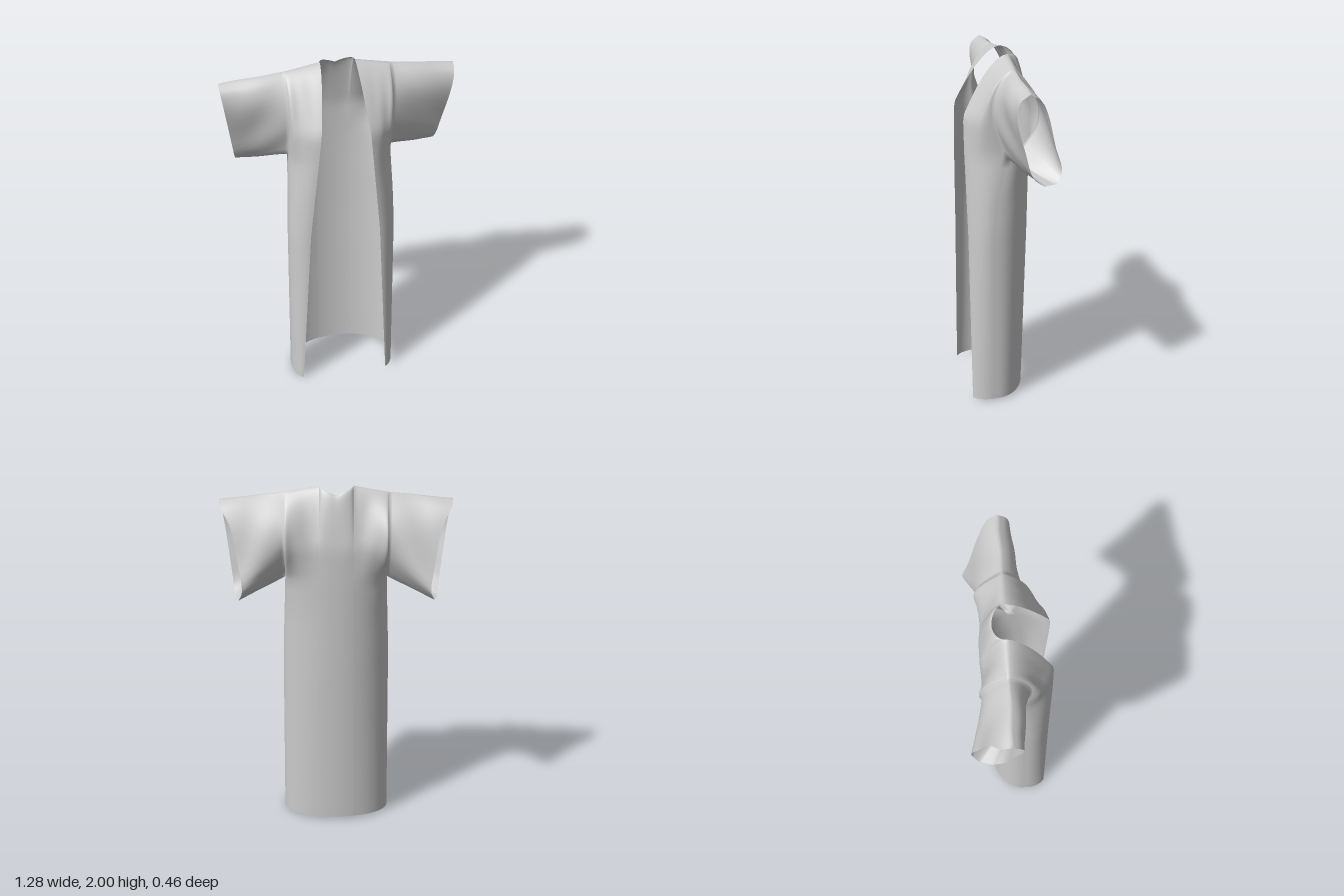
import * as THREE from 'three';

const V = (x, y, z) => new THREE.Vector3(x, y, z);
const lerp = THREE.MathUtils.lerp;
const steps = (n) => Array.from({ length: n + 1 }, (_, i) => i / n);

// Piecewise linear lookup in [key, value] pairs with rising keys
function table(pairs, k) {
  for (let i = 1; i < pairs.length; i++) {
    const [k0, v0] = pairs[i - 1], [k1, v1] = pairs[i];
    if (k <= k1 || i === pairs.length - 1) return lerp(v0, v1, Math.min(1, (k - k0) / (k1 - k0)));
  }
}

const PIT = 1.48;      // armpit height
const ARM = 0.285;     // half width at the armholes
const NECK = 0.095;    // half width of the neck
const RIDGE = -0.02;   // z of the shoulder line

// Garment measures at height y
const edgeX = (y) => table([[0, 0.252], [1.04, 0.197], [1.65, 0.137], [1.8, 0.118], [2, NECK]], y);
const width = (y) => table([[0, 0.308], [1.02, 0.303], [PIT, ARM]], y);
const frontZ = (y) => table([[0, 0.212], [1, 0.22], [PIT, 0.23]], y);
const backZ = (y) => table([[0, -0.118], [1, -0.148], [PIT, -0.156]], y);
const frontCorner = (y) => table([[0, 0.1], [1, 0.1], [1.25, 0.08], [PIT, 0.025]], y);
const backCorner = (y) => table([[0, 0.07], [1, 0.07], [1.25, 0.05], [PIT, -0.005]], y);

// Columns: dense towards the side; the back has extra ones under the neck
const frontCols = steps(14).map((v) => 1 - (1 - v) ** 2);
const backCols = [
  ...steps(7).slice(0, -1).map((v) => NECK * Math.sin(v * Math.PI / 2)),
  ...frontCols.map((t) => lerp(NECK, ARM, t)),
];
const wall = steps(4).slice(1, -1);
const heights = steps(18);

const roundOff = (s, p) => 1 - Math.sqrt(Math.max(0, 1 - s ** p));
const mirror = (row) => row.map((p) => V(-p.x, p.y, p.z)).reverse();
const bothSides = (row) => [...mirror(row.slice(1)), ...row];

const panelFront = (y, t) => lerp(frontZ(y), frontCorner(y), roundOff(t, 1.5));
const panelBack = (y, s) => lerp(backZ(y), backCorner(y), roundOff(s, 2.1));

// Half cross-section of the lower robe: back centre, side, front edge
function section(y) {
  const w = width(y), b = backCorner(y), f = frontCorner(y);
  const hemSlope = 0.05 * Math.max(0, 1 - y / 0.3);
  const row = [
    ...backCols.map((x) => V(x / ARM * w, y, panelBack(y, x / ARM))),
    ...wall.map((k) => V(w, y, lerp(b, f, k))),
    ...[...frontCols].reverse().map((t) => V(lerp(edgeX(y), w, t), y, panelFront(y, t))),
  ];
  row.forEach((p) => { p.y += hemSlope * (frontZ(y) - p.z); });
  return row;
}

const shoulderY = (x) => 2 - 0.035 * (x - NECK) / (ARM - NECK);
const drape = (h) => Math.min(1, h / 0.62) ** 0.6;
// Soft folds which fade out at the shoulder and the armpit line
const fold = (h, s) => 0.005 * Math.sin(Math.PI * h) * Math.sin(s * 13 + h * 4) * s;

// Upper front panel point: t from the front edge to the armhole, v from the shoulder down
function chestPoint(t, v) {
  const h = v ** 1.6;
  const y = lerp(shoulderY(lerp(NECK, ARM, t)), PIT, h);
  const x = lerp(edgeX(lerp(2, PIT, h)), ARM, t);
  const z = lerp(RIDGE, panelFront(PIT, t), drape(h));
  const fullness = 0.075 * t ** 3 * Math.sin(Math.PI * h ** 0.7);
  return V(x, y, z + fullness + fold(h, t));
}

// Upper back point; its top follows the neck arc and then the shoulder
function backPoint(x, v) {
  const h = v ** 1.6, k = Math.min(1, x / NECK), s = x / ARM;
  const top = x < NECK ? 1.96 + 0.04 * k : shoulderY(x);
  const z0 = RIDGE - 0.065 * Math.sqrt(1 - k * k);
  const z = lerp(z0, panelBack(PIT, s), drape(h));
  const fullness = 0.15 * s ** 4 * Math.sin(Math.PI * h);
  return V(x, lerp(top, PIT, h), z - fullness + fold(h, s));
}

// Cuff outline, front and back, from the top down
const cuffFront = new THREE.CatmullRomCurve3([
  V(0.64, 1.93, RIDGE), V(0.636, 1.89, 0.03), V(0.622, 1.8, 0.042),
  V(0.592, 1.6, -0.01), V(0.57, 1.45, -0.06), V(0.56, 1.4, -0.12)]);
const cuffBack = new THREE.CatmullRomCurve3([
  V(0.64, 1.93, RIDGE), V(0.632, 1.895, -0.075), V(0.578, 1.8, -0.13),
  V(0.537, 1.6, -0.185), V(0.516, 1.46, -0.226), V(0.537, 1.4, -0.19)]);

// Sleeve: closed loops from the armhole to the cuff
function sleeveRows() {
  const close = (front, back) => {
    const f = heights.map(front).reverse(), b = heights.map(back).slice(1);
    const end = b[b.length - 1];
    return [...f, ...b, ...wall.map((k) => end.clone().lerp(f[0], k)), f[0].clone()];
  };
  const armhole = close((v) => chestPoint(1, v), (v) => backPoint(ARM, v));
  const cuff = close((v) => cuffFront.getPoint(v), (v) => cuffBack.getPoint(v));
  return steps(16).map((t) => armhole.map((p, i) => {
    const q = p.clone().lerp(cuff[i], t);
    q.z += 0.005 * Math.sin(Math.PI * t) * Math.sin(t * 6 + q.y * 16);
    return q;
  }));
}

// Surface through rows of points
function sheet(rows) {
  const n = rows[0].length, index = [];
  for (let i = 0; i < rows.length - 1; i++) {
    for (let j = 0; j < n - 1; j++) {
      const a = i * n + j, c = a + n;
      index.push(a, c, a + 1, a + 1, c, c + 1);
    }
  }
  const g = new THREE.BufferGeometry().setFromPoints(rows.flat());
  g.setIndex(index);
  g.computeVertexNormals();
  return g;
}

// Share normals along the seams so the cloth shades as one surface
function blendSeams(geometries) {
  const sums = new Map();
  const visit = (fn) => geometries.forEach((g) => {
    const p = g.attributes.position, nor = g.attributes.normal;
    for (let i = 0; i < p.count; i++) {
      const key = [p.getX(i), p.getY(i), p.getZ(i)].map((c) => Math.round(c * 5000)).join();
      fn(key, nor, i);
    }
  });
  visit((key, nor, i) => {
    if (!sums.has(key)) sums.set(key, V(0, 0, 0));
    sums.get(key).add(V(0, 0, 0).fromBufferAttribute(nor, i));
  });
  visit((key, nor, i) => {
    const s = sums.get(key).clone().normalize();
    nor.setXYZ(i, s.x, s.y, s.z);
  });
}

export function createModel() {
  const group = new THREE.Group();
  group.name = 'openRobe';
  const cloth = new THREE.MeshStandardMaterial({ color: 0xcccccc, side: THREE.DoubleSide });

  const up = [...heights].reverse();
  const chest = up.map((v) => [...frontCols].reverse().map((t) => chestPoint(t, v)));
  const sleeve = sleeveRows();
  const parts = {
    lowerRobe: steps(24).map((k) => bothSides(section(k * PIT))),
    upperBack: up.map((v) => bothSides(backCols.map((x) => backPoint(x, v)))),
    leftChest: chest,
    rightChest: chest.map(mirror),
    leftSleeve: sleeve,
    rightSleeve: sleeve.map(mirror),
  };

  for (const [name, rows] of Object.entries(parts)) {
    const mesh = new THREE.Mesh(sheet(rows), cloth);
    mesh.name = name;
    group.add(mesh);
  }
  blendSeams(group.children.map((m) => m.geometry));
  return group;
}
